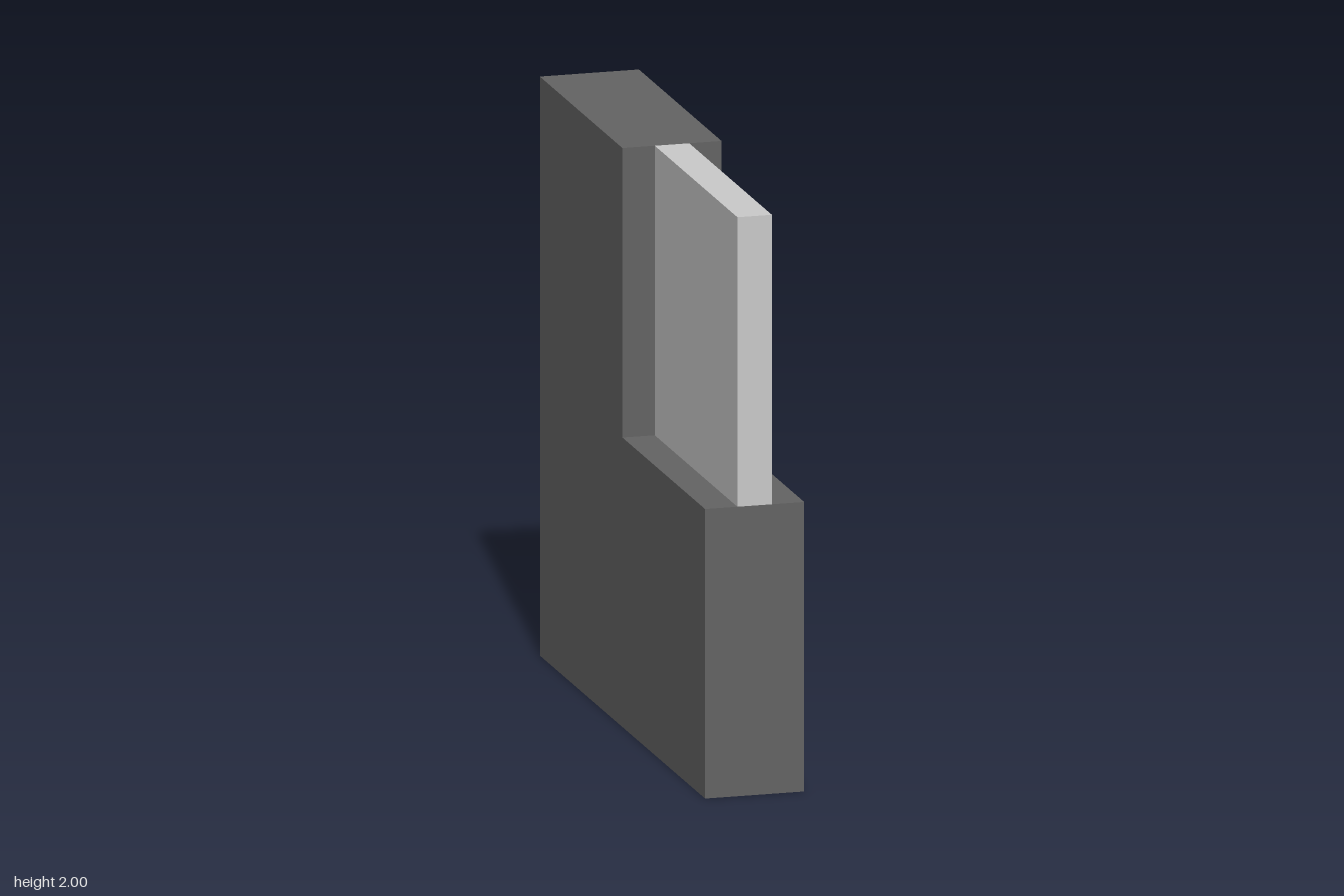
import * as THREE from 'three';

export function createModel() {
  const group = new THREE.Group();
  const frameGrey = new THREE.MeshStandardMaterial({ color: 0x636363 });
  frameGrey.name = 'dark grey';
  const paneGrey = new THREE.MeshStandardMaterial({ color: 0xc9c9c9 });
  paneGrey.name = 'light grey';

  // L-shaped frame: profile drawn in (z, y), extruded across x
  const width = 0.345;
  const profile = new THREE.Shape(
    [[-1, 0], [1, 0], [1, 1], [0, 1], [0, 2], [-1, 2]].map(([z, y]) => new THREE.Vector2(z, y))
  );
  const frameGeometry = new THREE.ExtrudeGeometry(profile, { depth: width, bevelEnabled: false });
  frameGeometry.translate(0, 0, -width / 2).rotateY(-Math.PI / 2);
  const frame = new THREE.Mesh(frameGeometry, frameGrey);
  frame.name = 'frame';

  // Thin panel filling the open corner
  const panel = new THREE.Mesh(new THREE.BoxGeometry(0.12, 1, 1), paneGrey);
  panel.name = 'panel';
  panel.position.set(0, 1.5, 0.5);

  group.add(frame, panel);
  return group;
}
